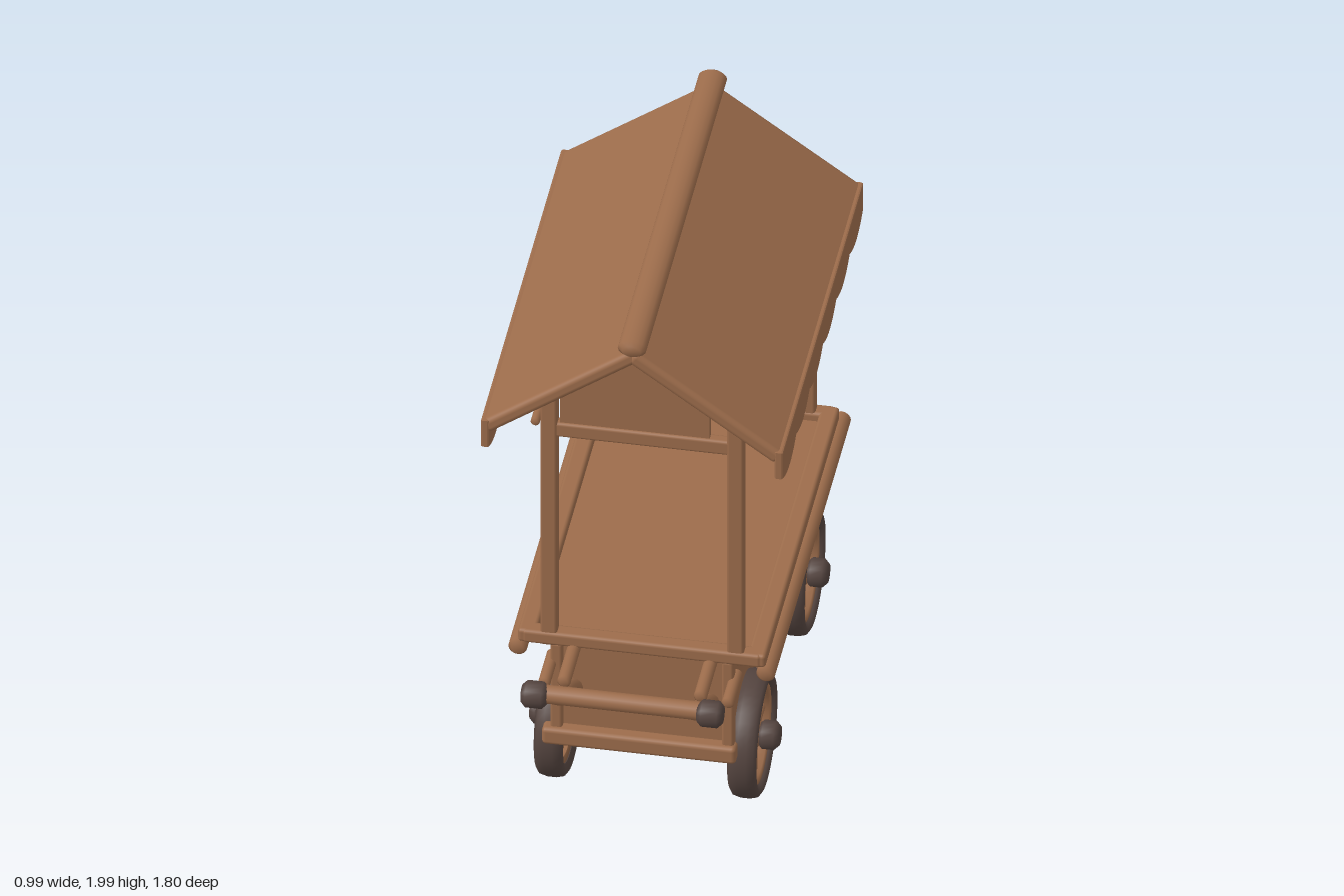
import * as THREE from 'three';
import { RoundedBoxGeometry } from 'three/addons/geometries/RoundedBoxGeometry.js';

const wood = new THREE.MeshStandardMaterial({ color: 0x9c6c4b });
wood.name = 'wood';
const dark = new THREE.MeshStandardMaterial({ color: 0x54443f });
dark.name = 'dark wood';

const CX = 0.02; // the cart body sits slightly off the roof ridge

export function createModel() {
  const cart = new THREE.Group();
  cart.name = 'marketCart';

  function add(parent, name, geometry, material = wood) {
    const mesh = new THREE.Mesh(geometry, material);
    mesh.name = name;
    parent.add(mesh);
    return mesh;
  }

  // Rounded box given by its extents
  function block(name, x0, x1, y0, y1, z0, z1, r = 0.01) {
    const mesh = add(cart, name, new RoundedBoxGeometry(x1 - x0, y1 - y0, z1 - z0, 2, r));
    mesh.position.set((x0 + x1) / 2, (y0 + y1) / 2, (z0 + z1) / 2);
    return mesh;
  }

  // Round bar with soft ends between two points
  function bar(parent, name, a, b, r, material = wood) {
    const p = new THREE.Vector3(...a), q = new THREE.Vector3(...b);
    const d = q.clone().sub(p), len = d.length(), e = r * 0.35;
    const profile = [[0, 0], [r - e, 0], [r, e], [r, len - e], [r - e, len], [0, len]]
      .map(([x, y]) => new THREE.Vector2(x, y));
    const mesh = add(parent, name, new THREE.LatheGeometry(profile, 16), material);
    mesh.position.copy(p);
    mesh.quaternion.setFromUnitVectors(new THREE.Vector3(0, 1, 0), d.normalize());
    return mesh;
  }

  // Body box with framed ends
  block('bodyBox', CX - 0.285, CX + 0.285, 0.3, 0.69, -0.815, 0.485);
  for (const s of [-1, 1]) {
    const x = CX + s * 0.28;
    for (const z of [-0.81, 0.487])
      block('cornerPost', x - 0.02, x + 0.02, 0.29, 0.69, z - 0.024, z + 0.024);
    block('lowerSideRail', x - 0.015, x + 0.015, 0.285, 0.315, -0.82, 0.5);
  }
  block('frontLowerBeam', CX - 0.325, CX + 0.31, 0.29, 0.355, 0.475, 0.53, 0.015);
  block('backLowerBeam', CX - 0.28, CX + 0.28, 0.285, 0.325, -0.835, -0.79);
  block('backUpperBeam', CX - 0.28, CX + 0.28, 0.635, 0.69, -0.835, -0.79);

  // Counter with raised rim
  block('counterTop', CX - 0.38, CX + 0.38, 0.675, 0.705, -0.81, 0.5);
  for (const s of [-1, 1]) {
    const x = CX + s * 0.375;
    block('counterSideRim', x - 0.03, x + 0.03, 0.685, 0.735, -0.83, 0.515, 0.012);
  }
  for (const z of [-0.805, 0.49])
    block('counterEndRim', CX - 0.39, CX + 0.39, 0.685, 0.735, z - 0.028, z + 0.028, 0.012);

  // Side rails, rear struts and front pegs
  for (const s of [-1, 1]) {
    const x = CX + s * 0.405;
    bar(cart, 'sideRail', [x, 0.662, -0.87], [x, 0.662, 0.52], 0.031);
    bar(cart, 'rearStrut', [x + s * 0.01, 0.655, -0.805], [CX + s * 0.325, 0.55, -0.805], 0.022);
    bar(cart, 'frontPeg', [CX + s * 0.3, 0.607, 0.45], [CX + s * 0.3, 0.607, 0.62], 0.02);
  }

  // Posts and roof crossbeams
  for (const z of [-0.805, 0.488]) {
    for (const s of [-1, 1]) {
      const x = CX + s * 0.305;
      block('roofPost', x - 0.028, x + 0.028, 0.68, 1.69, z - 0.024, z + 0.024);
    }
    block('roofCrossbeam', CX - 0.3, CX + 0.3, 1.525, 1.58, z - 0.02, z + 0.02);
  }

  // Gable panels
  const gable = new THREE.Shape([[-0.25, 1.56], [0.24, 1.56], [0.24, 1.74], [0, 1.91], [-0.25, 1.74]]
    .map(([x, y]) => new THREE.Vector2(x, y)));
  for (const z of [-0.815, 0.478])
    add(cart, 'gablePanel', new THREE.ExtrudeGeometry(gable, { depth: 0.02, bevelEnabled: false }))
      .position.z = z;

  // Roof slabs, with a scalloped valance along each eave
  const z0 = -0.87, z1 = 0.575, waves = 6;
  const scallop = new THREE.Shape();
  scallop.moveTo(z0, 1.61);
  scallop.lineTo(z0, 1.515);
  const step = (z1 - z0) / waves;
  for (let i = 0; i < waves; i++) {
    const z = z0 + i * step;
    scallop.quadraticCurveTo(z + step / 2, 1.445, z + step, 1.515);
  }
  scallop.lineTo(z1, 1.61);
  for (const s of [-1, 1]) {
    const slab = add(cart, 'roofSlab', new RoundedBoxGeometry(0.6, 0.05, 1.46, 3, 0.018));
    slab.position.set(s * 0.238, 1.759, -0.15);
    slab.rotation.z = -s * 0.624;
    const valance = add(cart, 'roofValance', new THREE.ExtrudeGeometry(scallop, {
      depth: 0.016, bevelSize: 0.006, bevelThickness: 0.006, bevelSegments: 2, curveSegments: 10,
    }));
    valance.rotation.y = -Math.PI / 2; // shape x runs along z
    valance.position.x = s * 0.48 + 0.008;
  }
  const ridge = bar(cart, 'roofRidge', [0, 1.968, -0.9], [0, 1.968, 0.59], 0.047);
  ridge.scale.z = 0.68;
  bar(cart, 'hangingRod', [-0.34, 1.53, -0.76], [-0.34, 1.53, 0.45], 0.015);

  // Push handle
  for (const s of [-1, 1]) {
    const x = CX + s * 0.223;
    const path = new THREE.CatmullRomCurve3([[0.44, 0.47], [0.54, 0.545], [0.66, 0.62], [0.74, 0.655], [0.85, 0.745]]
      .map(([y, z]) => new THREE.Vector3(x, z, y)));
    add(cart, 'handleArm', new THREE.TubeGeometry(path, 20, 0.027, 10));
    bar(cart, 'handleBracket', [x, 0.675, 0.48], [x, 0.675, 0.69], 0.022);
    const kx = CX + s * 0.287;
    bar(cart, 'handleKnob', [kx - 0.042, 0.745, 0.856], [kx + 0.042, 0.745, 0.856], 0.045, dark);
  }
  bar(cart, 'handleGrip', [CX - 0.29, 0.747, 0.85], [CX + 0.29, 0.747, 0.85], 0.031);

  // Wheels, built around the y axis and turned to the side
  const tyreProfile = [[0.165, -0.036], [0.19, -0.048], [0.205, -0.038], [0.211, -0.015], [0.211, 0.015],
    [0.205, 0.038], [0.19, 0.048], [0.165, 0.036], [0.165, -0.036]].map(([x, y]) => new THREE.Vector2(x, y));
  const rimProfile = [[0.143, -0.028], [0.17, -0.034], [0.17, 0.034], [0.143, 0.028], [0.143, -0.028]]
    .map(([x, y]) => new THREE.Vector2(x, y));
  for (const z of [0.26, -0.612]) {
    for (const s of [-1, 1]) {
      const wheel = new THREE.Group();
      wheel.name = 'wheel';
      wheel.position.set(CX + s * 0.316, 0.222, z);
      wheel.rotation.z = -s * Math.PI / 2;
      cart.add(wheel);
      add(wheel, 'tyre', new THREE.LatheGeometry(tyreProfile, 40), dark);
      add(wheel, 'rim', new THREE.LatheGeometry(rimProfile, 40));
      for (let i = 0; i < 8; i++) {
        const a = i * Math.PI / 4, c = Math.cos(a), d = Math.sin(a);
        bar(wheel, 'spoke', [c * 0.02, 0, d * 0.02], [c * 0.155, 0, d * 0.155], 0.017);
      }
      bar(wheel, 'hub', [0, -0.03, 0], [0, 0.03, 0], 0.055);
      bar(wheel, 'hubCap', [0, 0.02, 0], [0, 0.092, 0], 0.048, dark);
    }
    bar(cart, 'axle', [CX - 0.31, 0.222, z], [CX + 0.31, 0.222, z], 0.034);
    block('axleMount', CX - 0.2, CX + 0.2, 0.24, 0.31, z - 0.03, z + 0.03);
  }
  return cart;
}
